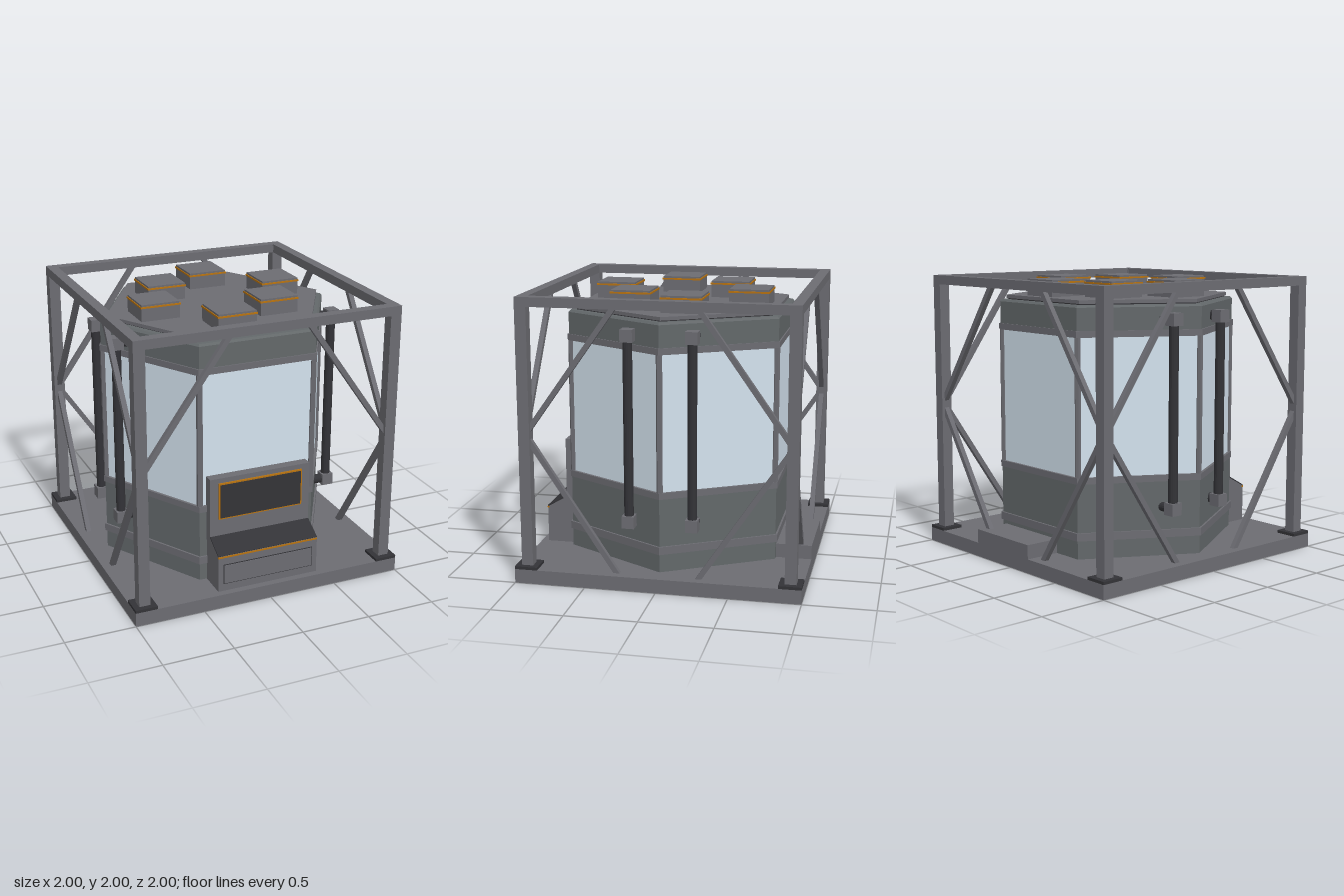
import * as THREE from 'three';

const mat = (color) => new THREE.MeshStandardMaterial({ color, flatShading: true });

export function createModel() {
  const model = new THREE.Group();
  const frameGrey = mat(0x6c6c72), bodyGrey = mat(0x63686a), dark = mat(0x333337);
  const glass = mat(0xd3e2ee), orange = mat(0xb87310);

  const add = (name, geometry, material, x = 0, y = 0, z = 0, parent = model) => {
    const mesh = new THREE.Mesh(geometry, material);
    mesh.name = name;
    mesh.position.set(x, y, z);
    parent.add(mesh);
    return mesh;
  };
  // Box given by its lower and upper corners
  const box = (name, material, a, b, parent) => add(name,
    new THREE.BoxGeometry(b[0] - a[0], b[1] - a[1], b[2] - a[2]), material,
    (a[0] + b[0]) / 2, (a[1] + b[1]) / 2, (a[2] + b[2]) / 2, parent);
  // Hexagonal prism with corners on the x axis
  const hex = (name, material, y0, y1, r0, r1 = r0) => add(name,
    new THREE.CylinderGeometry(r1, r0, y1 - y0, 6, 1, false, Math.PI / 6), material, 0, (y0 + y1) / 2, 0);

  // Base and rear step
  box('basePlate', frameGrey, [-1, 0, -1], [1, 0.1, 1]);
  box('rearStep', frameGrey, [-0.2, 0.1, -1], [0.39, 0.2, -0.7]);

  // Hexagonal chamber
  hex('lowerWall', bodyGrey, 0.1, 0.63, 0.86);
  hex('lowerBand', frameGrey, 0.23, 0.285, 0.875);
  hex('sillBand', frameGrey, 0.625, 0.67, 0.87);
  hex('windows', glass, 0.67, 1.625, 0.848);
  hex('headBand', frameGrey, 1.625, 1.67, 0.87);
  hex('upperWall', bodyGrey, 1.67, 1.825, 0.86);
  hex('upperChamfer', bodyGrey, 1.825, 1.84, 0.86, 0.845);
  hex('roofSeam', dark, 1.84, 1.848, 0.8);
  hex('roofPlate', frameGrey, 1.848, 1.872, 0.815);
  for (let i = 0; i < 6; i++) {
    const a = i * Math.PI / 3;
    add('windowPost', new THREE.CylinderGeometry(0.022, 0.022, 0.955, 6), frameGrey,
      0.845 * Math.cos(a), 1.1475, 0.845 * Math.sin(a));
  }

  // Roof boxes with a coloured trim
  const spots = [[0.1, -0.505], [-0.3, -0.305], [-0.5, 0.1], [-0.105, 0.5], [0.3, 0.295], [0.5, -0.105]];
  for (const [x, z] of spots) {
    const unit = new THREE.Group();
    unit.name = 'roofBox';
    unit.position.set(x, 1.87, z);
    model.add(unit);
    box('roofBoxBody', frameGrey, [-0.14, 0, -0.14], [0.14, 0.095, 0.14], unit);
    box('roofBoxTrim', orange, [-0.145, 0.095, -0.145], [0.145, 0.107, 0.145], unit);
    box('roofBoxCap', frameGrey, [-0.139, 0.107, -0.139], [0.139, 0.12, 0.139], unit);
  }

  // Outer frame: posts, feet and top beams
  for (const sx of [-1, 1]) for (const sz of [-1, 1]) {
    add('framePost', new THREE.BoxGeometry(0.08, 1.89, 0.08), frameGrey, sx * 0.92, 1.045, sz * 0.92);
    add('postFoot', new THREE.BoxGeometry(0.16, 0.02, 0.16), dark, sx * 0.92, 0.11, sz * 0.92);
  }
  for (const s of [-1, 1]) {
    add('topBeam', new THREE.BoxGeometry(1.92, 0.065, 0.075), frameGrey, 0, 1.9675, s * 0.9225);
    add('topBeam', new THREE.BoxGeometry(0.075, 0.065, 1.92), frameGrey, s * 0.9225, 1.9675, 0);
  }

  // Diagonal braces on each side; the front has only the upper pair
  const brace = (parent, x0, y0, x1, y1) => {
    const m = add('brace', new THREE.BoxGeometry(0.036, Math.hypot(x1 - x0, y1 - y0), 0.036),
      frameGrey, (x0 + x1) / 2, (y0 + y1) / 2, 0.92, parent);
    m.rotation.z = Math.atan2(x0 - x1, y1 - y0);
  };
  for (let i = 0; i < 4; i++) {
    const side = new THREE.Group();
    side.name = 'sideBraces';
    side.rotation.y = i * Math.PI / 2;
    model.add(side);
    for (const s of [-1, 1]) {
      brace(side, s * 0.92, 1.05, s * 0.28, 1.955);
      if (i > 0) brace(side, s * 0.92, 1.05, s * 0.28, 0.09);
    }
  }

  // Vertical pipes with end blocks and wall connectors
  for (const sx of [-1, 1]) for (const sz of [-1, 1]) {
    const x = sx * 0.822, z = sz * 0.222;
    add('pipe', new THREE.CylinderGeometry(0.033, 0.033, 1.25, 16), dark, x, 1.095, z);
    for (const y of [0.445, 1.745]) {
      add('pipeBlock', new THREE.BoxGeometry(0.086, 0.086, 0.086), frameGrey, x, y, z);
      add('pipeConnector', new THREE.CylinderGeometry(0.034, 0.034, 0.09, 16), dark, sx * 0.745, y, z)
        .rotation.z = Math.PI / 2;
    }
  }

  // Control console: side profile extruded across the width
  const profile = new THREE.Shape([[0.7, 0.1], [0.95, 0.1], [0.95, 0.37], [0.805, 0.452], [0.805, 0.885], [0.7, 0.885]]
    .map(([z, y]) => new THREE.Vector2(-z, y)));
  const consoleGeo = new THREE.ExtrudeGeometry(profile, { depth: 0.755, bevelEnabled: false });
  consoleGeo.translate(0, 0, -0.3775);
  consoleGeo.rotateY(Math.PI / 2);
  add('console', consoleGeo, frameGrey);
  box('screenTrim', orange, [-0.315, 0.58, 0.8], [0.315, 0.85, 0.817]);
  box('screen', dark, [-0.304, 0.591, 0.805], [0.304, 0.839, 0.822]);
  add('controlDeck', new THREE.BoxGeometry(0.756, 0.008, 0.166), dark, 0, 0.411, 0.8775)
    .rotation.x = Math.atan2(0.082, 0.145);
  box('deckTrim', orange, [-0.378, 0.355, 0.94], [0.378, 0.367, 0.954]);
  box('panelSeam', dark, [-0.34, 0.153, 0.94], [0.34, 0.303, 0.952]);
  box('accessPanel', frameGrey, [-0.334, 0.159, 0.94], [0.334, 0.297, 0.956]);
  return model;
}
